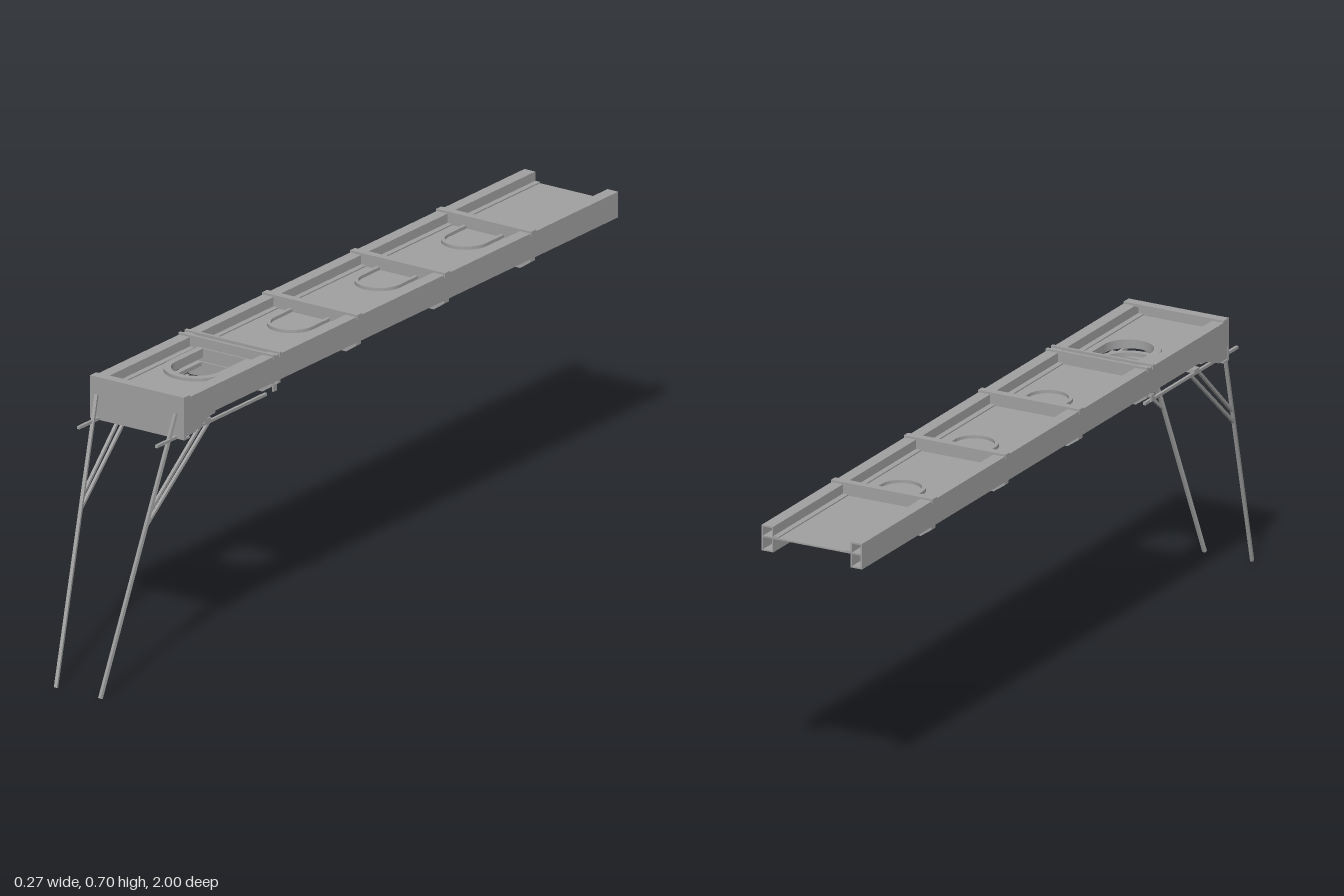
import * as THREE from 'three';

const steel = new THREE.MeshStandardMaterial({ color: 0xa0a0a0, side: THREE.DoubleSide });
steel.name = 'steel grey';

const DECK_Y = 0.666;

function add(parent, name, geometry) {
  const mesh = new THREE.Mesh(geometry, steel);
  mesh.name = name;
  parent.add(mesh);
  return mesh;
}

// Box given by its limits on each axis
function box(parent, name, x0, x1, y0, y1, z0, z1) {
  const mesh = add(parent, name, new THREE.BoxGeometry(Math.abs(x1 - x0), y1 - y0, z1 - z0));
  mesh.position.set((x0 + x1) / 2, (y0 + y1) / 2, (z0 + z1) / 2);
  return mesh;
}

// Square bar between two points
function bar(parent, name, a, b, w) {
  const from = new THREE.Vector3(...a), to = new THREE.Vector3(...b);
  const mesh = add(parent, name, new THREE.BoxGeometry(w, w, from.distanceTo(to)));
  mesh.position.copy(from).add(to).multiplyScalar(0.5);
  mesh.lookAt(to);
  return mesh;
}

// Outline with a straight back and a round front; drawn with y = -z
function archOutline(T, r, zBack, zFront) {
  const zc = zFront - r;
  const s = new T();
  s.moveTo(-r, -zBack);
  s.lineTo(-r, -zc);
  s.absarc(0, -zc, r, Math.PI, Math.PI * 2, false);
  s.lineTo(r, -zBack);
  s.closePath();
  return s;
}

// Extrude a plan shape upwards from height y
function plate(parent, name, shape, y, depth) {
  const g = new THREE.ExtrudeGeometry(shape, { depth, bevelEnabled: false, curveSegments: 20 });
  g.rotateX(-Math.PI / 2);
  add(parent, name, g).position.y = y;
}

// Upright arch-shaped rim
function rim(parent, name, r, width, zBack, zFront, y0, y1) {
  const s = archOutline(THREE.Shape, r + width, zBack - 0.004, zFront + width);
  s.holes.push(archOutline(THREE.Path, r, zBack, zFront));
  plate(parent, name, s, y0, y1 - y0);
}

// Cross member: top strap, web between the rails, tapered hanger below
function crossMember(parent, z, t) {
  const g = new THREE.Group();
  g.name = 'crossMember';
  box(g, 'topStrap', -0.137, 0.137, 0.685, 0.697, z - t / 2, z + t / 2);
  box(g, 'web', -0.106, 0.106, 0.63, 0.69, z - t / 2, z + t / 2);
  const s = new THREE.Shape();
  s.moveTo(-0.134, 0.632);
  s.lineTo(-0.134, 0.62);
  s.lineTo(-0.105, 0.6);
  s.lineTo(0.105, 0.6);
  s.lineTo(0.134, 0.62);
  s.lineTo(0.134, 0.632);
  add(g, 'hanger', new THREE.ExtrudeGeometry(s, { depth: t, bevelEnabled: false })).position.z = z - t / 2;
  parent.add(g);
}

export function createModel() {
  const model = new THREE.Group();
  model.name = 'walkway';

  // Deck plate with one open hatch
  const deck = new THREE.Shape();
  deck.moveTo(-0.106, 1);
  deck.lineTo(-0.106, -0.75);
  deck.lineTo(0.106, -0.75);
  deck.lineTo(0.106, 1);
  deck.closePath();
  deck.holes.push(archOutline(THREE.Path, 0.062, 0.405, 0.577));
  plate(model, 'deck', deck, DECK_Y - 0.004, 0.004);

  // Hatch rims
  rim(model, 'hatchRim', 0.062, 0.018, 0.405, 0.577, 0.652, 0.674);
  rim(model, 'hatchLowerRing', 0.066, 0.014, 0.405, 0.581, 0.63, 0.64);
  for (const z of [0.045, -0.31, -0.66]) {
    rim(model, 'coverRim', 0.05, 0.009, z + 0.012, z + 0.137, 0.654, 0.674);
  }

  // Cross members
  for (const z of [0.05, -0.305, -0.655]) crossMember(model, z, 0.02);
  for (const z of [0.37, 0.395]) crossMember(model, z, 0.008);

  // Front end plate with upper and lower flanges
  box(model, 'endPlate', -0.135, 0.135, 0.592, 0.697, 0.752, 0.76);
  box(model, 'endTopFlange', -0.135, 0.135, 0.69, 0.697, 0.735, 0.756);
  box(model, 'endBottomFlange', -0.135, 0.135, 0.59, 0.595, 0.735, 0.758);
  box(model, 'underStrap', -0.118, 0.118, 0.597, 0.606, 0.625, 0.65);

  for (const side of [-1, 1]) {
    const g = new THREE.Group();
    g.name = side > 0 ? 'leftSide' : 'rightSide';
    model.add(g);
    const t = 0.004, zb = -1, zf = 0.755;

    // Hollow side rail, open at the back
    box(g, 'railOuterWall', side * 0.131, side * 0.135, 0.628, 0.692, zb, zf);
    box(g, 'railInnerWall', side * 0.104, side * 0.108, 0.628, 0.692, zb, zf);
    box(g, 'railTop', side * 0.104, side * 0.135, 0.692 - t, 0.692, zb, zf);
    box(g, 'railBottom', side * 0.104, side * 0.135, 0.628, 0.628 + t, zb, zf);
    box(g, 'railShelf', side * 0.104, side * 0.135, DECK_Y - t, DECK_Y, zb, zf);
    box(g, 'deckEdgeStrip', side * 0.09, side * 0.106, DECK_Y, DECK_Y + 0.003, zb, zf);

    // Tapered gusset under the front of the rail
    const s = new THREE.Shape();
    s.moveTo(-0.757, 0.635);
    s.lineTo(-0.757, 0.597);
    s.lineTo(-0.715, 0.597);
    s.lineTo(-0.655, 0.62);
    s.lineTo(-0.63, 0.622);
    s.lineTo(-0.63, 0.635);
    const gusset = new THREE.ExtrudeGeometry(s, { depth: 0.005, bevelEnabled: false });
    gusset.rotateY(Math.PI / 2);
    add(g, 'gusset', gusset).position.x = side > 0 ? 0.129 : -0.134;
    box(g, 'sideLug', side * 0.133, side * 0.137, 0.606, 0.624, 0.385, 0.4);

    // Runner rod, leg and its two braces
    bar(g, 'runner', [side * 0.112, 0.594, 0.84], [side * 0.112, 0.594, 0.395], 0.007);
    bar(g, 'leg', [side * 0.114, 0.655, 0.763], [side * 0.064, 0.002, 0.998], 0.008);
    bar(g, 'lowerBrace', [side * 0.095, 0.4, 0.853], [side * 0.109, 0.594, 0.62], 0.007);
    bar(g, 'upperBrace', [side * 0.097, 0.432, 0.842], [side * 0.109, 0.594, 0.655], 0.007);
  }
  return model;
}
